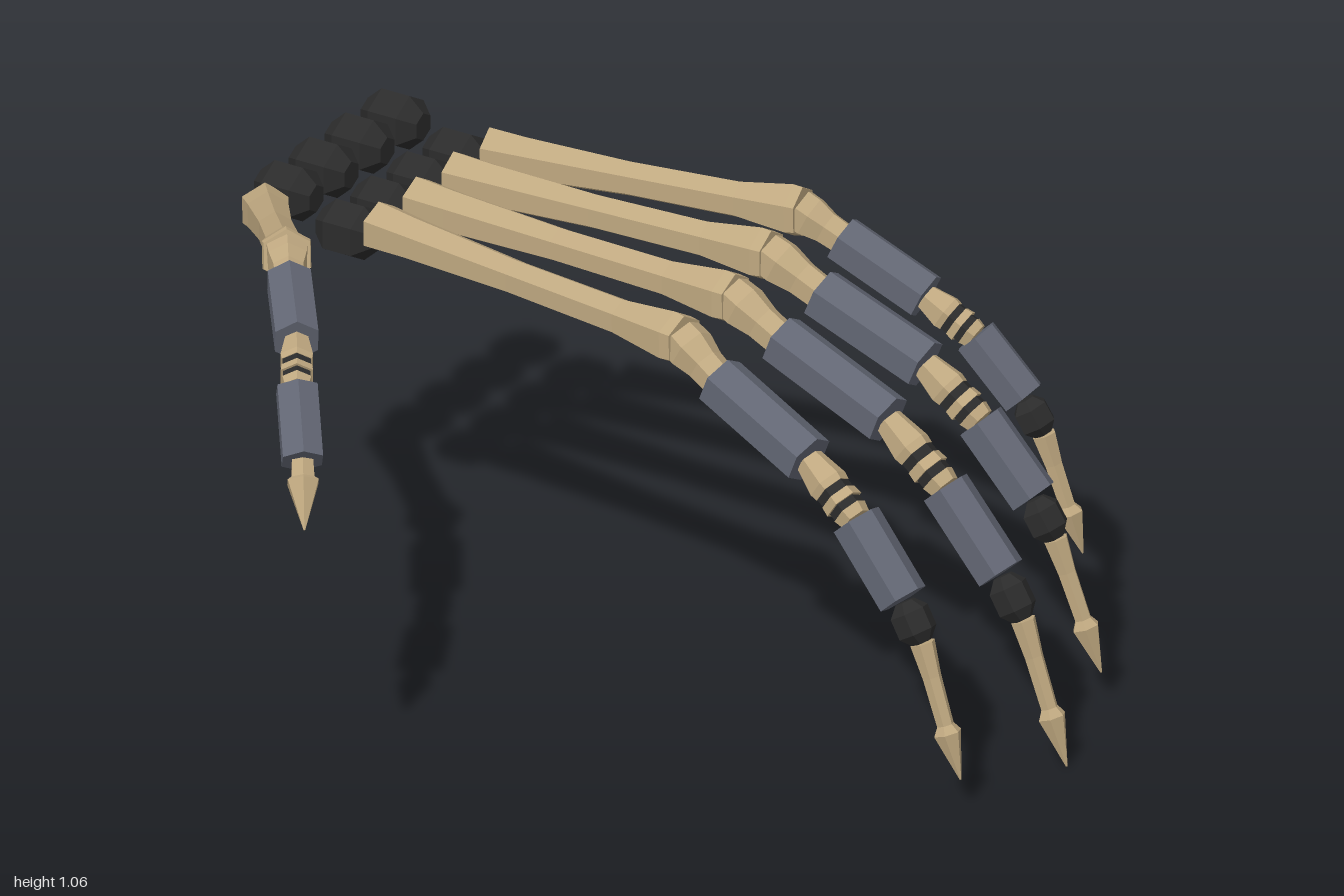
import * as THREE from 'three';

const mat = (name, color) => {
  const m = new THREE.MeshStandardMaterial({ color, flatShading: true });
  m.name = name;
  return m;
};

export function createModel() {
  const bone = mat('bone', 0xbfa880);
  const slate = mat('slate sleeve', 0x626673);
  const black = mat('black joint', 0x2b2b2b);
  const V = (p) => new THREE.Vector3(...p);
  const mix = (a, b, t) => a.map((v, i) => v + (b[i] - v) * t);

  // Closed six-sided part from a to b, one corner turned upward; profile = [[t, radius], ...]
  function hexPart(parent, name, material, a, b, profile) {
    const A = V(a), dir = V(b).sub(A), len = dir.length();
    dir.normalize();
    const pts = [[profile[0][0], 0], ...profile, [profile[profile.length - 1][0], 0]]
      .map(([t, r]) => new THREE.Vector2(r, t * len));
    const side = new THREE.Vector3().crossVectors(dir, new THREE.Vector3(0, 1, 0)).normalize();
    const up = new THREE.Vector3().crossVectors(side, dir);
    const geo = new THREE.LatheGeometry(pts, 6);
    geo.applyMatrix4(new THREE.Matrix4().makeBasis(side, dir, up).setPosition(A));
    const mesh = new THREE.Mesh(geo, material);
    mesh.name = name;
    parent.add(mesh);
  }

  const knobProfile = (r) => [[0, r * 0.5], [0.25, r], [0.75, r], [1, r * 0.5]];

  // Palm bone, two sleeved finger bones, ringed joint and pointed tip
  function digit(parent, d) {
    const g = new THREE.Group();
    g.name = d.name;
    parent.add(g);
    const { m0, m1, p0, p1, q0, q1, tip } = d;
    const s = d.scale;
    hexPart(g, 'palmBone', bone, m0, m1,
      [[0, 0.057], [0.12, 0.05], [0.45, 0.04], [0.8, 0.042], [0.97, 0.06], [1, 0.057]]);
    hexPart(g, 'knuckle', bone, m1, p0, [[-0.1, 0.05], [0.2, 0.053 * s], [0.6, 0.042 * s], [1, 0.04 * s]]);
    hexPart(g, 'lowerSleeve', slate, p0, p1, [[0, 0.06 * s], [1, 0.06 * s]]);

    // Ringed middle joint
    hexPart(g, 'middleBoneEnd', bone, p1, q0, [[0, 0.032 * s], [0.4, 0.045 * s], [0.5, 0.042 * s]]);
    hexPart(g, 'jointRing', black, p1, q0, [[0.5, 0.04 * s], [0.62, 0.04 * s]]);
    hexPart(g, 'jointDisc', bone, p1, q0, [[0.62, 0.042 * s], [0.75, 0.045 * s]]);
    hexPart(g, 'jointRing', black, p1, q0, [[0.75, 0.038 * s], [0.86, 0.038 * s]]);
    hexPart(g, 'upperBoneStart', bone, p1, q0, [[0.86, 0.04 * s], [1, 0.034 * s]]);
    hexPart(g, 'upperSleeve', slate, q0, q1, [[0, 0.056 * s], [1, 0.056 * s]]);

    // Fingers carry a black end joint; the thumb tip starts at its sleeve
    if (d.knob) {
      const k0 = mix(q1, d.knob, 0.1), k1 = mix(d.knob, tip, 0.11);
      hexPart(g, 'endJoint', black, k0, k1, knobProfile(0.044 * s));
      hexPart(g, 'fingertip', bone, k1, tip,
        [[0, 0.028], [0.25, 0.021], [0.6, 0.019], [0.66, 0.031], [1, 0.002]]);
    } else {
      hexPart(g, 'thumbTip', bone, q1, tip, [[0, 0.026], [0.25, 0.028], [0.3, 0.038], [1, 0.002]]);
    }
  }

  const hand = new THREE.Group();
  hand.name = 'skeletalHand';

  // Two rows of wrist bones
  for (const z of [-0.61, -0.47, -0.33, -0.195]) {
    for (const [x, y] of [[-0.93, 0.865], [-0.775, 0.815]]) {
      hexPart(hand, 'wristBone', black, [x - 0.07, y, z], [x + 0.07, y, z], knobProfile(0.063));
    }
  }

  const digits = [
    { name: 'indexFinger', scale: 1, m0: [-0.7, 0.845, -0.19], m1: [0.15, 0.85, -0.065],
      p0: [0.25, 0.79, -0.048], p1: [0.5, 0.685, -0.01], q0: [0.635, 0.59, 0.015],
      q1: [0.765, 0.445, 0.033], knob: [0.805, 0.395, 0.038], tip: [0.922, 0.07, 0.052] },
    { name: 'middleFinger', scale: 1, m0: [-0.7, 0.845, -0.335], m1: [0.13, 0.85, -0.295],
      p0: [0.25, 0.79, -0.287], p1: [0.53, 0.68, -0.272], q0: [0.68, 0.565, -0.262],
      q1: [0.825, 0.405, -0.254], knob: [0.87, 0.352, -0.25], tip: [0.997, 0, -0.245] },
    { name: 'ringFinger', scale: 1, m0: [-0.7, 0.845, -0.48], m1: [0.08, 0.85, -0.512],
      p0: [0.2, 0.79, -0.52], p1: [0.455, 0.685, -0.532], q0: [0.59, 0.585, -0.538],
      q1: [0.72, 0.44, -0.543], knob: [0.76, 0.39, -0.545], tip: [0.883, 0.065, -0.555] },
    { name: 'littleFinger', scale: 0.93, m0: [-0.7, 0.845, -0.62], m1: [0.02, 0.85, -0.727],
      p0: [0.11, 0.805, -0.741], p1: [0.305, 0.71, -0.766], q0: [0.42, 0.64, -0.782],
      q1: [0.53, 0.52, -0.797], knob: [0.565, 0.475, -0.803], tip: [0.665, 0.18, -0.82] },
    { name: 'thumb', scale: 0.88, m0: [-0.94, 0.85, -0.12], m1: [-0.61, 1.0, 0.305],
      p0: [-0.56, 0.985, 0.375], p1: [-0.437, 0.938, 0.535], q0: [-0.362, 0.893, 0.65],
      q1: [-0.282, 0.785, 0.752], tip: [-0.22, 0.675, 0.84] },
  ];
  for (const d of digits) digit(hand, d);

  return hand;
}
